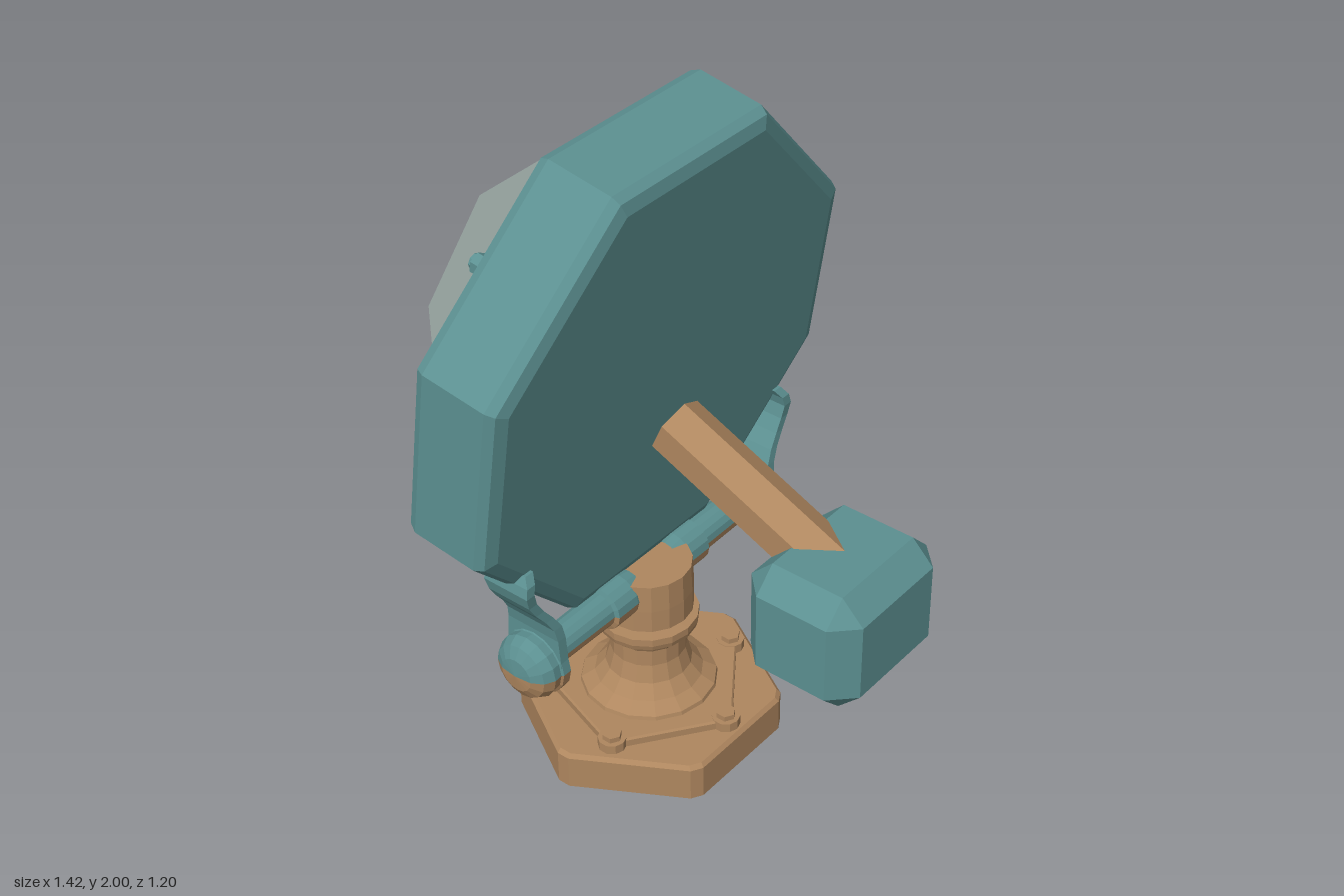
import * as THREE from 'three';
import { ConvexGeometry } from 'three/addons/geometries/ConvexGeometry.js';

export function createModel() {
  const group = new THREE.Group();
  const teal = new THREE.MeshStandardMaterial({ name: 'teal paint', color: 0x5c9091, flatShading: true });
  const bronze = new THREE.MeshStandardMaterial({ name: 'bronze', color: 0xaf875f, flatShading: true });
  const glass = new THREE.MeshStandardMaterial({ name: 'grey glass', color: 0xd0e2dd, side: THREE.DoubleSide });
  const AXIS_Z = -0.255, PIVOT_Y = 0.535;

  const add = (name, geo, mat, x = 0, y = 0, z = 0, parent = group) => {
    const m = new THREE.Mesh(geo, mat);
    m.name = name;
    m.position.set(x, y, z);
    parent.add(m);
    return m;
  };
  const lathe = (pts, seg, start = 0, len = Math.PI * 2) =>
    new THREE.LatheGeometry(pts.map(p => new THREE.Vector2(p[0], p[1])), seg, start, len);

  // Flat polygonal plate with trimmed corners and a bevelled top edge
  const plate = (sides, radius, trim, height, bevel, phase) => {
    const pts = [];
    for (let i = 0; i < sides; i++) {
      for (const d of [-trim, trim]) {
        const a = phase + i * Math.PI * 2 / sides + d;
        for (const [r, y] of [[radius, 0], [radius, height - bevel], [radius - bevel, height]])
          pts.push(new THREE.Vector3(Math.cos(a) * r, y, Math.sin(a) * r));
      }
    }
    return new ConvexGeometry(pts);
  };

  // Base: hexagonal foot, pentagonal flange with lobes and bolts at its corners
  add('baseFoot', plate(6, 0.389, 0.05, 0.12, 0.012, 0), bronze, 0, 0, AXIS_Z);
  add('baseFlange', plate(5, 0.303, 0.04, 0.033, 0.006, Math.PI / 2), bronze, 0, 0.115, AXIS_Z);
  for (let i = 0; i < 5; i++) {
    const a = Math.PI / 2 + i * Math.PI * 2 / 5;
    const x = Math.cos(a) * 0.288, z = AXIS_Z + Math.sin(a) * 0.288;
    add('flangeLobe', new THREE.CylinderGeometry(0.042, 0.042, 0.035, 10), bronze, x, 0.1325, z);
    add('baseBolt', new THREE.CylinderGeometry(0.029, 0.029, 0.03, 6), bronze, x, 0.152, z);
  }

  // Pedestal with collar, neck and swivel hub
  add('pedestal', lathe([
    [0.205, 0.14], [0.2, 0.16], [0.16, 0.185], [0.128, 0.225], [0.113, 0.28], [0.113, 0.335],
    [0.123, 0.355], [0.145, 0.368], [0.15, 0.385], [0.15, 0.408], [0.082, 0.412], [0.082, 0.428],
    [0.135, 0.428], [0.135, 0.5], [0.132, 0.587], [0, 0.587]], 16),
    bronze, 0, 0, AXIS_Z);

  // Cross arms with domed ends (upper half teal, lower half bronze) and bent straps
  const armProfile = [[0.06, 0.08], [0.068, 0.12], [0.068, 0.2], [0.054, 0.205], [0.052, 0.4], [0.064, 0.44],
    [0.104, 0.447], [0.104, 0.475], [0.098, 0.48], [0.1, 0.505], [0.085, 0.535], [0.052, 0.554], [0, 0.56]];
  // strap rows: height, sideways offset, half width
  const strapRows = [[0.53, 0.462, 0.1], [0.65, 0.462, 0.09], [0.69, 0.469, 0.085], [0.73, 0.492, 0.078],
    [0.77, 0.522, 0.073], [0.81, 0.546, 0.072], [0.85, 0.557, 0.076], [0.88, 0.55, 0.073], [0.905, 0.535, 0.054]];
  for (const side of [1, -1]) {
    for (const [name, start, mat] of [['lowerArm', 0, bronze], ['upperArm', Math.PI, teal]]) {
      const geo = lathe(armProfile, 8, start, Math.PI).rotateZ(-Math.PI / 2);
      if (side < 0) geo.rotateY(Math.PI);
      add(name, geo, mat, 0, PIVOT_Y, AXIS_Z);
    }
    const strap = new THREE.BoxGeometry(1, 1, 1, 1, strapRows.length - 1, 1);
    const p = strap.attributes.position;
    for (let i = 0; i < p.count; i++) {
      const [y, x, w] = strapRows[Math.round((p.getY(i) + 0.5) * (strapRows.length - 1))];
      p.setXYZ(i, side * x + p.getX(i) * 0.03, y, p.getZ(i) * 2 * w);
    }
    add('strap', strap, teal, 0, 0, AXIS_Z);
  }

  // Octagonal lamp housing, tilted, with a shallow recess at the back
  const head = new THREE.Group();
  head.name = 'lampHead';
  head.position.set(0, 1.288, -0.293);
  head.rotation.x = 0.15;
  group.add(head);
  const k = 1 / Math.cos(Math.PI / 8);
  const housing = lathe([
    [0, -0.06], [0.575, -0.06], [0.58, -0.075], [0.596, -0.078], [0.614, -0.136], [0.66, -0.139], [0.694, -0.128],
    [0.708, -0.1], [0.704, 0.1], [0.69, 0.126], [0.655, 0.139], [0, 0.139],
  ].map(([r, z]) => [r * k, z]), 8, Math.PI / 8).rotateX(Math.PI / 2);
  // the upright sides are slightly shorter than the top and bottom ones
  const hp = housing.attributes.position;
  for (let i = 0; i < hp.count; i++) {
    if (Math.abs(hp.getX(i)) > Math.abs(hp.getY(i))) hp.setY(i, hp.getY(i) * 0.91);
  }
  add('housing', housing, teal, 0, 0, 0, head);
  for (const x of [-0.455, 0.455]) {
    for (const y of [-0.442, 0.442]) {
      add('rimBolt', new THREE.CylinderGeometry(0.022, 0.022, 0.06, 8).rotateX(Math.PI / 2), teal, x, y, -0.145, head);
      add('rimBolt', new THREE.CylinderGeometry(0.03, 0.03, 0.024, 6).rotateX(Math.PI / 2), teal, x, y, -0.153, head);
    }
  }

  // Upright glass pane with cut corners
  const w = 0.573, h = 0.59, b = 0.37;
  const pane = new THREE.Shape([[b, h], [-b, h], [-w, b], [-w, -b], [-b, -h], [b, -h], [w, -b], [w, b]]
    .map(([x, y]) => new THREE.Vector2(x, y)));
  add('glassPane', new THREE.ShapeGeometry(pane), glass, 0, 1.288, -0.45);

  // Hexagonal bar reaching forward to the counterweight
  const from = new THREE.Vector3(0, 0.875, 0.4), to = new THREE.Vector3(0, 1.113, -0.145);
  const bar = new THREE.CylinderGeometry(0.087, 0.087, from.distanceTo(to), 6).rotateX(Math.PI / 2);
  const mid = from.clone().add(to).multiplyScalar(0.5);
  add('counterweightBar', bar, bronze, mid.x, mid.y, mid.z).lookAt(to);

  // Counterweight: a block with chamfered edges
  const half = [0.225, 0.186, 0.18], c = 0.068, corners = [];
  for (const sx of [-1, 1]) for (const sy of [-1, 1]) for (const sz of [-1, 1]) {
    for (let axis = 0; axis < 3; axis++) {
      const v = half.map((d, i) => (i === axis ? d : d - c));
      corners.push(new THREE.Vector3(v[0] * sx, v[1] * sy, v[2] * sz));
    }
  }
  add('counterweight', new ConvexGeometry(corners), teal, 0, 0.773, 0.42);

  return group;
}
